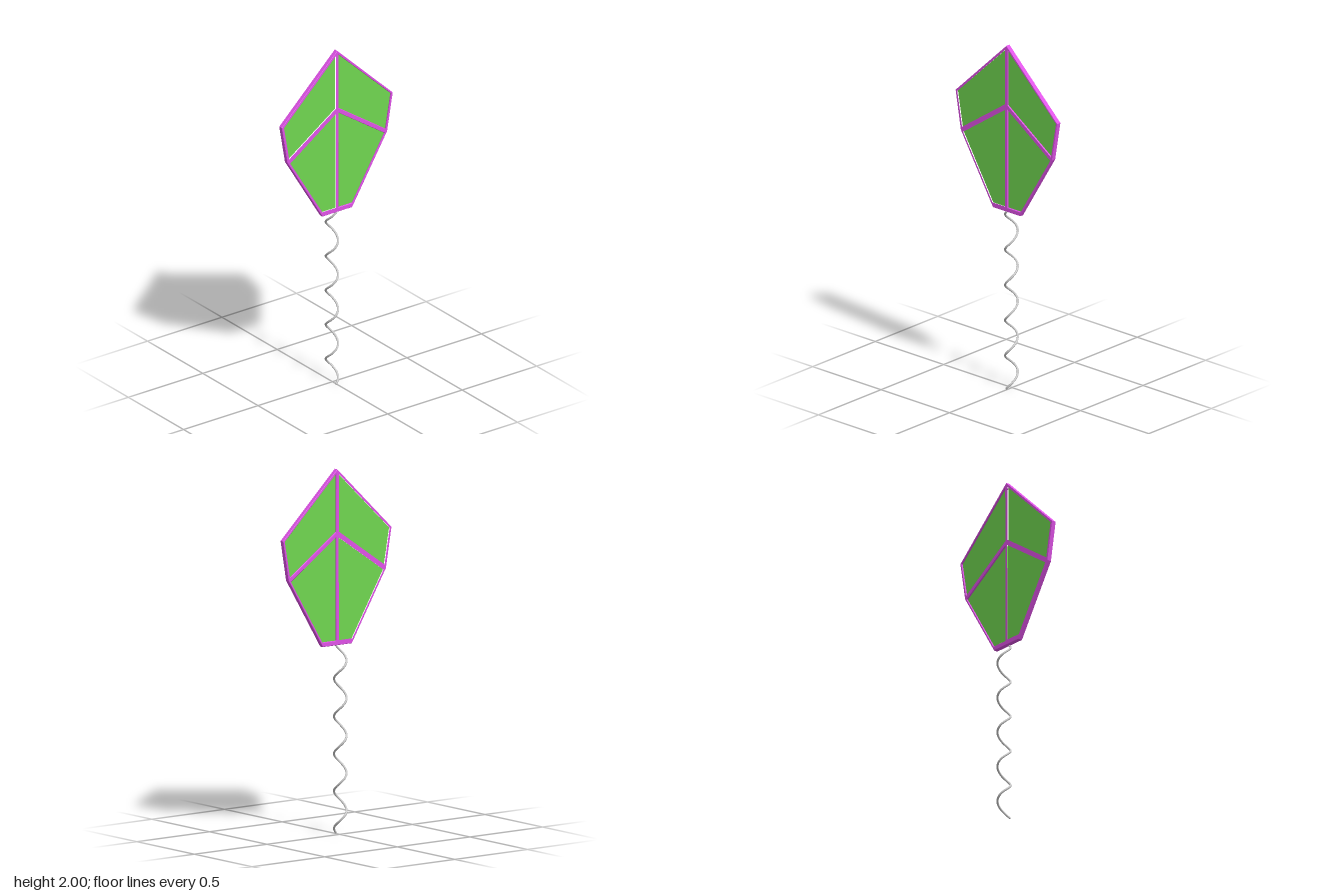
import * as THREE from 'three';

const PINK = new THREE.MeshStandardMaterial({ color: 0xe052e8, flatShading: true });
const GREEN = new THREE.MeshStandardMaterial({ color: 0x70d650, flatShading: true });
const GREY = new THREE.MeshStandardMaterial({ color: 0xcccccc });

const KITE_X = 0.032; // the kite lies in a plane facing +x and -x

// Half outline and half openings as [z, y]
const OUTLINE = [[0, 1.998], [0.373, 1.643], [0.335, 1.422], [0.1, 1.035]];
const UPPER_OPENING = [[0.009, 1.973], [0.361, 1.64], [0.325, 1.439], [0.009, 1.654]];
const LOWER_OPENING = [[0.007, 1.627], [0.319, 1.415], [0.103, 1.06], [0.007, 1.06]];

const vectors = (points, side = 1) => points.map(([z, y]) => new THREE.Vector2(z * side, y));

// Extrudes a side-on shape evenly about the kite's plane
function plate(name, shape, thickness, bevel, material) {
  const depth = thickness - 2 * bevel;
  const geometry = new THREE.ExtrudeGeometry(shape, {
    depth, bevelEnabled: bevel > 0, bevelThickness: bevel,
    bevelSize: bevel, bevelOffset: -bevel, bevelSegments: 1,
  });
  geometry.translate(0, 0, -depth / 2);
  geometry.rotateY(-Math.PI / 2);
  geometry.translate(KITE_X, 0, 0);
  const mesh = new THREE.Mesh(geometry, material);
  mesh.name = name;
  return mesh;
}

// Spring-shaped tail path, five turns
class TailCurve extends THREE.Curve {
  getPoint(t, target = new THREE.Vector3()) {
    const a = t * 5 * Math.PI * 2;
    return target.set(0.04 * Math.cos(a), 0.008 + 1.025 * t, 0.004 - 0.029 * Math.sin(a));
  }
}

export function createModel() {
  const model = new THREE.Group();
  model.name = 'kite';

  // Frame: rim, spine and cross spars in one piece
  const frame = new THREE.Shape([
    ...vectors(OUTLINE),
    ...vectors(OUTLINE.slice(1), -1).reverse(),
  ]);
  for (const side of [1, -1]) {
    for (const opening of [UPPER_OPENING, LOWER_OPENING]) {
      frame.holes.push(new THREE.Path(vectors(opening, side)));
    }
  }
  model.add(plate('frame', frame, 0.026, 0.002, PINK));

  // Sail panels, recessed on both faces
  for (const [label, side] of [['front', 1], ['back', -1]]) {
    model.add(plate(`${label}UpperPanel`, new THREE.Shape(vectors(UPPER_OPENING, side)), 0.01, 0, GREEN));
    model.add(plate(`${label}LowerPanel`, new THREE.Shape(vectors(LOWER_OPENING, side)), 0.01, 0, GREEN));
  }

  // Coiled tail with rounded ends
  const tail = new THREE.Group();
  tail.name = 'tail';
  const path = new TailCurve();
  const coil = new THREE.Mesh(new THREE.TubeGeometry(path, 160, 0.006, 8), GREY);
  coil.name = 'tailCoil';
  tail.add(coil);
  for (const [label, t] of [['tailTip', 0], ['tailRoot', 1]]) {
    const end = new THREE.Mesh(new THREE.SphereGeometry(0.006, 8, 6), GREY);
    end.name = label;
    end.position.copy(path.getPoint(t));
    tail.add(end);
  }
  model.add(tail);

  return model;
}
